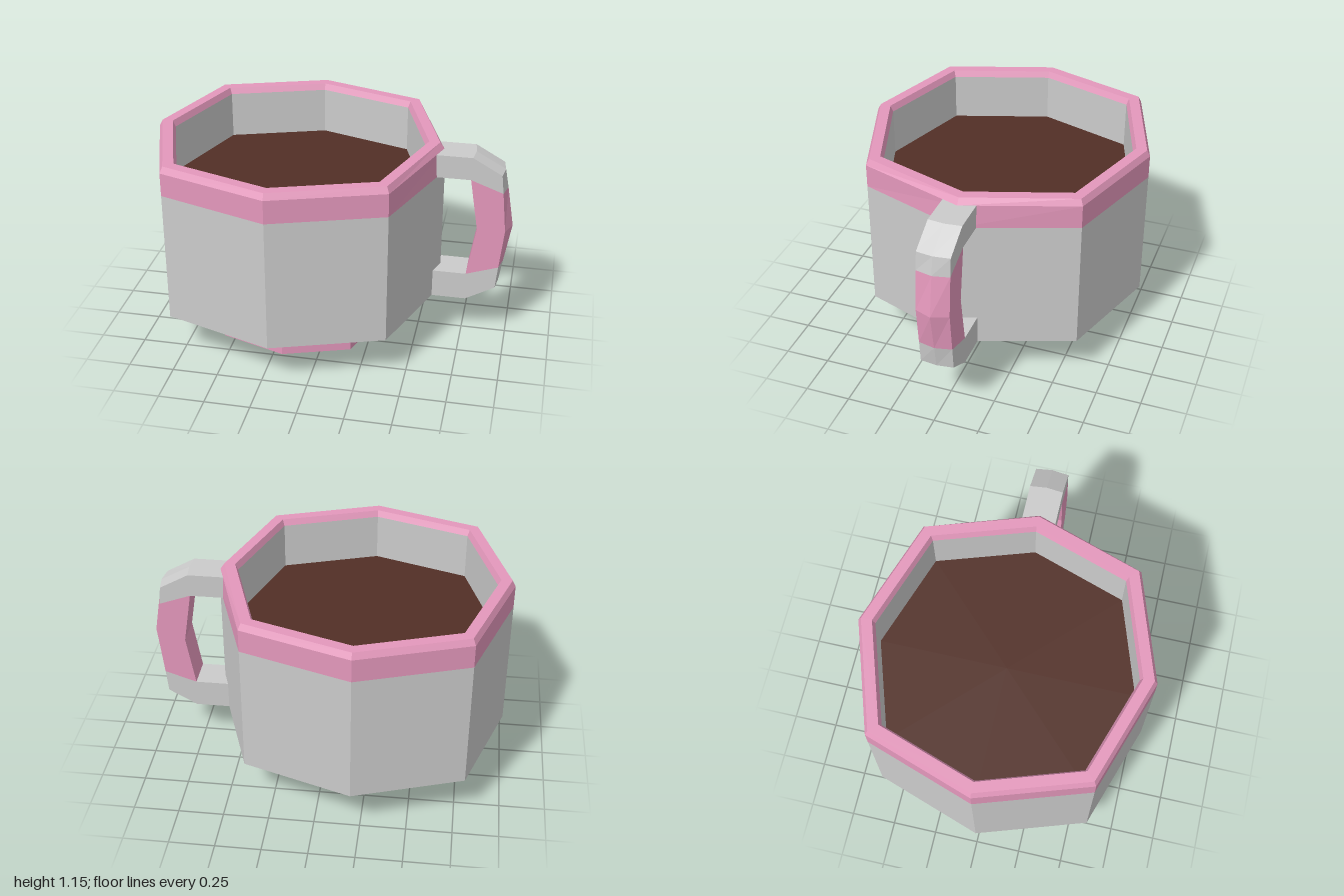
import * as THREE from 'three';

const grey = new THREE.MeshStandardMaterial({ color: 0xcccccc, flatShading: true });
const pink = new THREE.MeshStandardMaterial({ color: 0xe498bc, flatShading: true });
const brown = new THREE.MeshStandardMaterial({ color: 0x522f26, flatShading: true });

// Skins a row of closed loops with flat facets, skipping collapsed triangles.
function loft(name, loops, material) {
  const pos = [];
  const tri = (a, b, c) => {
    if (new THREE.Triangle(a, b, c).getArea() > 1e-6) {
      for (const p of [a, b, c]) pos.push(p.x, p.y, p.z);
    }
  };
  for (let k = 0; k + 1 < loops.length; k++) {
    const lo = loops[k], hi = loops[k + 1], n = lo.length;
    for (let i = 0; i < n; i++) {
      const j = (i + 1) % n;
      tri(lo[i], lo[j], hi[j]);
      tri(lo[i], hi[j], hi[i]);
    }
  }
  const g = new THREE.BufferGeometry();
  g.setAttribute('position', new THREE.Float32BufferAttribute(pos, 3));
  g.computeVertexNormals();
  const mesh = new THREE.Mesh(g, material);
  mesh.name = name;
  return mesh;
}

// Octagon with corners on the axes and slightly wider diagonals;
// bulge pushes the corner under the handle outward.
function octagon(r, y, bulge = 0) {
  return Array.from({ length: 8 }, (_, i) => {
    const a = (i * Math.PI) / 4;
    const s = i % 2 ? r * 0.75 * Math.SQRT2 : r + (i === 0 ? bulge : 0);
    return new THREE.Vector3(-0.2 + s * Math.cos(a), y, -s * Math.sin(a));
  });
}

// Handle cross-section: inner edge, outer edge and a ridge along the outside.
function section([ix, iy, ox, oy, rx]) {
  const w = 0.092;
  return [[ix, iy, w], [ix, iy, -w], [ox, oy, -w], [rx, oy, 0], [ox, oy, w]]
    .map((p) => new THREE.Vector3(...p));
}

export function createModel() {
  const model = new THREE.Group();
  const add = (name, loops, material) => model.add(loft(name, loops, material));

  // Cup, from the foot up over the rim and down the inside
  add('foot', [octagon(0, 0), octagon(0.487, 0), octagon(0.487, 0.1)], pink);
  add('bowl', [octagon(0.487, 0.1), octagon(0.8, 0.245, 0.013), octagon(0.8, 0.985, 0.013)], grey);
  add('rim', [
    octagon(0.8, 0.985, 0.013), octagon(0.8, 1.115, 0.005), octagon(0.782, 1.15),
    octagon(0.722, 1.15), octagon(0.707, 1.115),
  ], pink);
  add('innerWall', [octagon(0.707, 1.115), octagon(0.707, 0.85)], grey);
  add('drink', [octagon(0.707, 0.85), octagon(0, 0.85)], brown);

  // Handle, upper half; the lower half mirrors it about its middle height
  const upper = [
    [0.55, 0.985, 0.55, 1.115, 0.55],
    [0.765, 0.985, 0.77, 1.115, 0.78],
    [0.765, 0.985, 0.93, 1.025, 0.942],
    [0.765, 0.985, 0.942, 0.92, 0.962],
  ];
  const midY = 0.69;
  const lower = upper.map(([ix, iy, ox, oy, rx]) =>
    [ix, 0.405 + (0.985 - iy), ox, 0.245 + (1.115 - oy), rx]).reverse();
  lower[0][3] = 0.465;
  const middle = [upper[3], [0.812, midY, 0.965, midY, 1.0], lower[0]];

  const handle = new THREE.Group();
  handle.name = 'handle';
  handle.add(
    loft('handleTop', upper.map(section), grey),
    loft('handleGrip', middle.map(section), pink),
    loft('handleBottom', lower.map(section), grey),
  );
  model.add(handle);
  return model;
}
